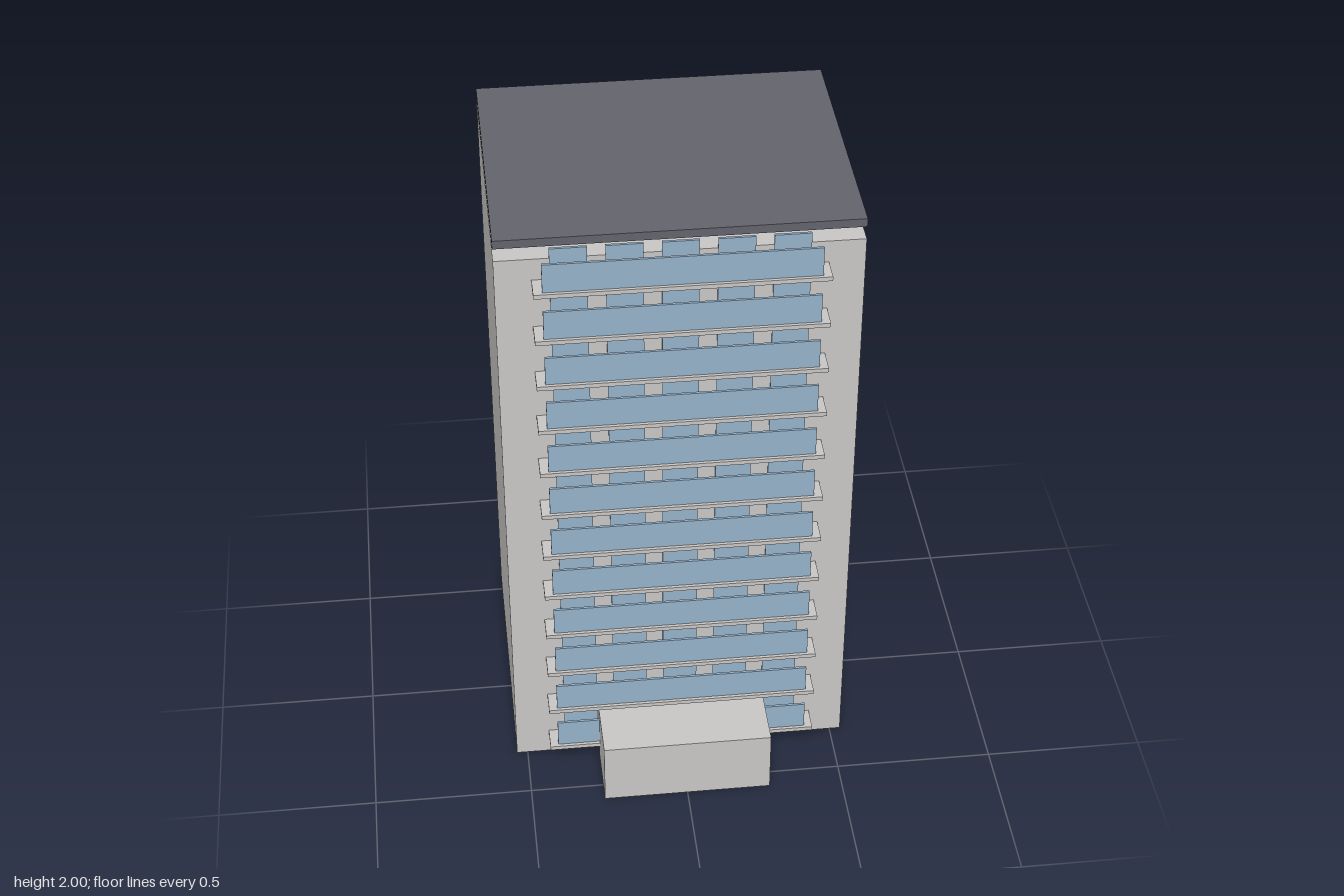
import * as THREE from 'three';

const material = (name, color) => {
  const m = new THREE.MeshStandardMaterial({ color });
  m.name = name;
  return m;
};

export function createModel() {
  const concrete = material('concrete', 0xc9c7c5);
  const glass = material('blue glass', 0x96b2ca);
  const slate = material('dark roof', 0x63636d);
  const tower = new THREE.Group();
  tower.name = 'apartmentTower';

  // Box given by its extents along each axis
  const box = (name, mat, [x0, x1], [y0, y1], [z0, z1], parent = tower) => {
    const mesh = new THREE.Mesh(new THREE.BoxGeometry(x1 - x0, y1 - y0, z1 - z0), mat);
    mesh.position.set((x0 + x1) / 2, (y0 + y1) / 2, (z0 + z1) / 2);
    mesh.name = name;
    parent.add(mesh);
  };

  // Main block, floating roof slab and entrance block
  box('mainBlock', concrete, [-0.535, 0.535], [0, 1.932], [-0.562, 0.322]);
  box('roofSlab', slate, [-0.535, 0.535], [1.973, 2], [-0.535, 0.322]);
  box('entranceBlock', concrete, [-0.267, 0.267], [0, 0.215], [0.353, 0.562]);

  // Twelve storeys: balcony slab, glass railing and five windows
  for (let i = 0; i < 12; i++) {
    const floor = new THREE.Group();
    floor.name = `storey${i + 1}`;
    floor.position.y = 0.083 + i * 0.161;
    tower.add(floor);
    box('balconySlab', concrete, [-0.428, 0.428], [-0.007, 0.007], [0.32, 0.4], floor);
    box('glassRailing', glass, [-0.402, 0.402], [0.007, 0.101], [0.382, 0.39], floor);
    for (let w = -2; w <= 2; w++) {
      const x = w * 0.161;
      box('window', glass, [x - 0.054, x + 0.054], [-0.021, 0.112], [0.319, 0.327], floor);
    }
  }
  return tower;
}
